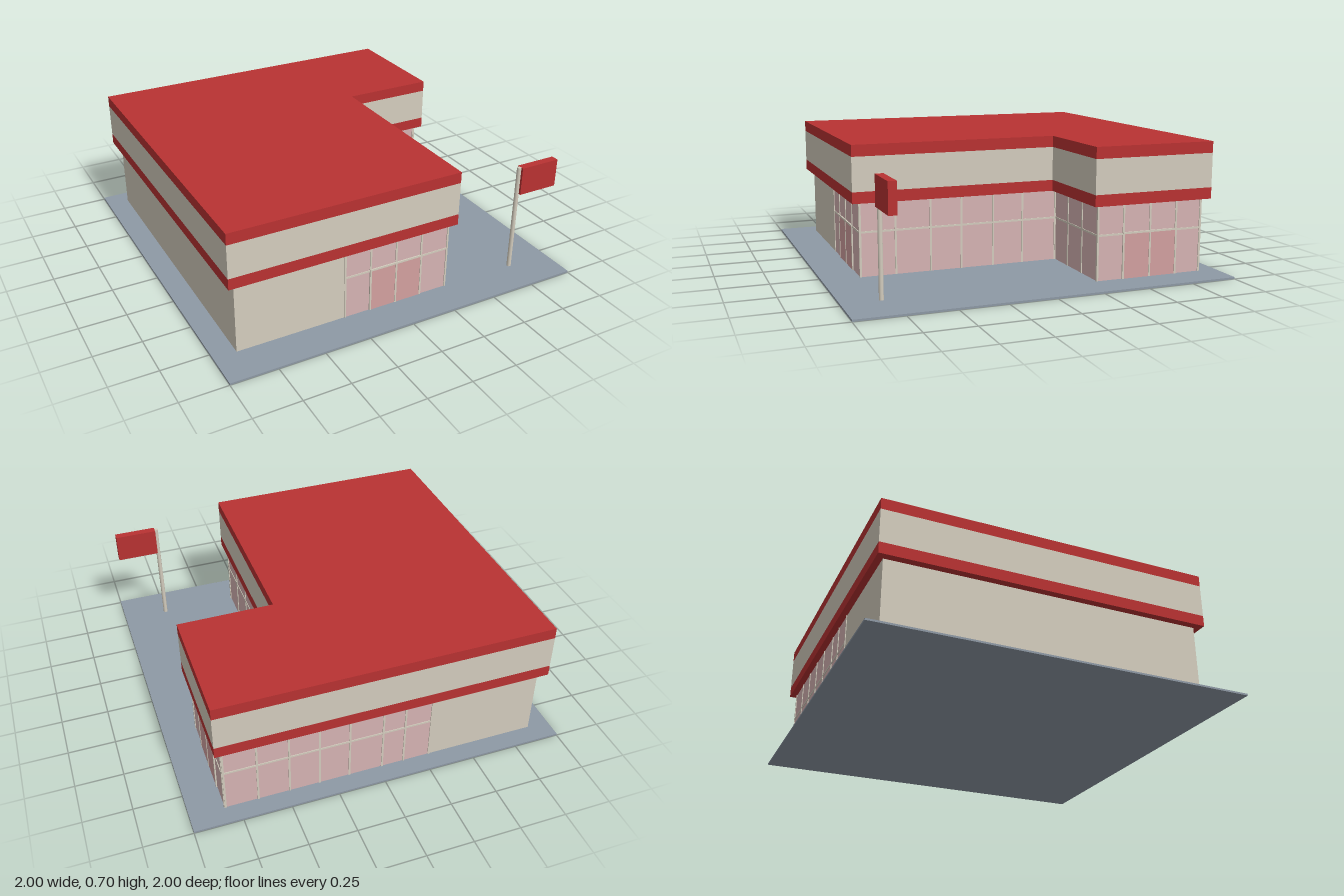
import * as THREE from 'three';

const paint = (color) => new THREE.MeshStandardMaterial({ color });

export function createModel() {
  const group = new THREE.Group();
  const red = paint(0xb93232), cream = paint(0xd4cdbe), glass = paint(0xd6b4b4);
  const doorGlass = paint(0xd3a1a0), asphalt = paint(0x8e99a5);

  const add = (name, geometry, material, parent = group) => {
    const mesh = new THREE.Mesh(geometry, material);
    mesh.name = name;
    parent.add(mesh);
    return mesh;
  };

  // Box given by its min and max on each axis
  const box = (name, [x0, x1], [y0, y1], [z0, z1], material, parent) => {
    const mesh = add(name, new THREE.BoxGeometry(x1 - x0, y1 - y0, z1 - z0), material, parent);
    mesh.position.set((x0 + x1) / 2, (y0 + y1) / 2, (z0 + z1) / 2);
    return mesh;
  };

  // L-shaped slab: full-width back wing, narrower front wing
  const slab = (name, [left, notchX, right], [back, notchZ, front], [y0, y1], material) => {
    const plan = [[left, back], [left, front], [notchX, front], [notchX, notchZ], [right, notchZ], [right, back]];
    const shape = new THREE.Shape(plan.map(([x, z]) => new THREE.Vector2(x, -z)));
    const geometry = new THREE.ExtrudeGeometry(shape, { depth: y1 - y0, bevelEnabled: false });
    geometry.rotateX(-Math.PI / 2);
    add(name, geometry, material).position.y = y0;
  };

  box('ground', [-1, 1], [0, 0.01], [-1, 1], asphalt);

  // Solid service block and glazed shop volume
  box('solidWalls', [-0.88, -0.29], [0.01, 0.4], [-0.9, 0.8], cream);
  slab('glazing', [-0.29, 0.32, 0.82], [-0.9, -0.3, 0.8], [0.01, 0.4], glass);

  // Overhanging striped roof fascia
  const roofX = [-0.92, 0.35, 0.855], roofZ = [-0.935, -0.265, 0.84];
  slab('lowerFascia', roofX, roofZ, [0.4, 0.46], red);
  slab('middleFascia', roofX, roofZ, [0.46, 0.64], cream);
  slab('roof', roofX, roofZ, [0.64, 0.7], red);

  // Glazing bars for one facade; "at" is the wall plane, "posts" run along it
  const facade = (name, axis, at, posts, door) => {
    const parent = new THREE.Group();
    parent.name = name;
    group.add(parent);
    const bar = (part, along, y, depth, material = cream) => {
      const across = [at - depth, at + depth];
      if (axis === 'x') box(part, along, y, across, material, parent);
      else box(part, across, y, along, material, parent);
    };
    const w = 0.005;
    for (const p of posts) bar('mullion', [p - w, p + w], [0.01, 0.4], 0.004);
    bar('transom', [posts[0], posts[posts.length - 1]], [0.24, 0.25], 0.0035);
    if (door) {
      const [a, b] = door, mid = (a + b) / 2;
      bar('doorLeaves', [a, b], [0.01, 0.245], 0.0045, doorGlass);
      for (const p of [a, mid, b]) bar('doorPost', [p - w, p + w], [0.01, 0.25], 0.007);
      bar('doorHead', [a - w, b + w], [0.243, 0.253], 0.007);
    }
  };

  const wingPosts = [0.32, 0.48, 0.645, 0.815];
  facade('frontFacade', 'x', 0.8, [-0.285, -0.14, 0.01, 0.16, 0.32], [-0.14, 0.16]);
  facade('innerSideFacade', 'z', 0.32, [-0.295, -0.1, 0.07, 0.25, 0.42, 0.61, 0.797]);
  facade('innerFrontFacade', 'x', -0.3, wingPosts);
  facade('wingSideFacade', 'z', 0.82, [-0.895, -0.75, -0.598, -0.445, -0.3], [-0.75, -0.445]);
  facade('backFacade', 'x', -0.9, [-0.285, -0.14, -0.02, 0.16, ...wingPosts]);

  // Roadside sign
  const post = add('signPost', new THREE.CylinderGeometry(0.012, 0.012, 0.605, 12), cream);
  post.position.set(0.75, 0.3125, 0.802);
  box('signPanel', [0.757, 0.987], [0.46, 0.615], [0.782, 0.824], red);

  return group;
}
